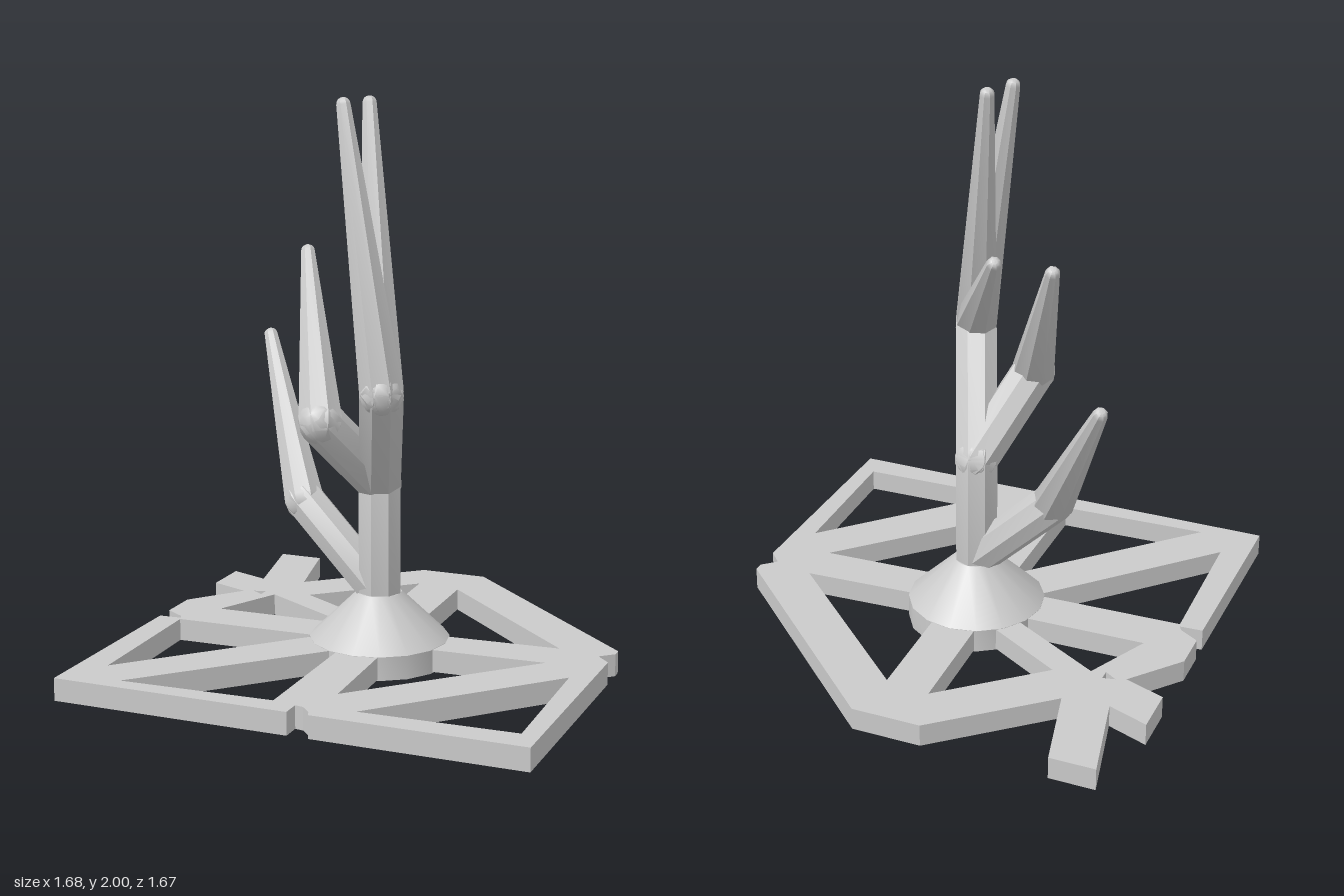
import * as THREE from 'three';
import { toCreasedNormals } from 'three/addons/utils/BufferGeometryUtils.js';

const grey = new THREE.MeshStandardMaterial({ color: 0xcacaca });
grey.name = 'plain grey';

function addMesh(parent, name, geometry) {
  const mesh = new THREE.Mesh(geometry, grey);
  mesh.name = name;
  parent.add(mesh);
  return mesh;
}

// Eight-sided rod with rounded ends, tapering from point a to point b
function addLimb(parent, name, a, b, ra, rb) {
  const start = new THREE.Vector3(...a);
  const dir = new THREE.Vector3(...b).sub(start);
  const length = dir.length();
  const steps = 4;
  const profile = [];
  for (let i = 0; i <= steps; i++) {
    const t = (i / steps) * Math.PI / 2;
    profile.push(new THREE.Vector2(ra * Math.sin(t), -ra * Math.cos(t)));
  }
  for (let i = 0; i <= steps; i++) {
    const t = (i / steps) * Math.PI / 2;
    profile.push(new THREE.Vector2(Math.max(0, rb * Math.cos(t)), length + rb * Math.sin(t)));
  }
  const limb = addMesh(parent, name, toCreasedNormals(new THREE.LatheGeometry(profile, 8), 0.6));
  limb.position.copy(start);
  limb.quaternion.setFromUnitVectors(new THREE.Vector3(0, 1, 0), dir.normalize());
}

// Plan points are [x, z]; z is flipped because the shape is laid flat.
// The winding is set so that walls face outward.
function plan(pts, clockwise) {
  const points = pts.map(([x, z]) => new THREE.Vector2(x, -z));
  return THREE.ShapeUtils.isClockWise(points) === clockwise ? points : points.reverse();
}

export function createModel() {
  const model = new THREE.Group();
  model.name = 'branchStand';

  // Openwork base plate
  const outline = new THREE.Shape(plan([
    [-0.77, -0.837], [-0.605, -0.837], [-0.525, -0.505], [-0.15, -0.837], [0.1, -0.837],
    [0.838, -0.15], [0.838, -0.115], [0.79, -0.07], [0.838, -0.02], [0.838, 0.837],
    [0.095, 0.837], [0.085, 0.81], [0.05, 0.775], [0.02, 0.77], [0.02, 0.837],
    [-0.838, 0.837], [-0.838, 0.09], [-0.755, 0.085], [-0.765, 0.065], [-0.838, 0.02],
    [-0.838, -0.125], [-0.69, -0.31], [-0.838, -0.365], [-0.838, -0.54], [-0.69, -0.485],
  ], false));
  const holes = [
    [[-0.1, -0.655], [-0.085, -0.15], [-0.435, -0.355]],
    [[0.065, -0.635], [0.64, -0.1], [0.08, -0.07]],
    [[-0.67, -0.07], [-0.56, -0.31], [-0.16, -0.08]],
    [[-0.655, -0.325], [-0.61, -0.335], [-0.61, -0.295]],
    [[-0.75, 0.1], [-0.2, 0.085], [-0.735, 0.655]],
    [[-0.62, 0.775], [-0.065, 0.755], [-0.07, 0.2]],
    [[0.08, 0.09], [0.64, 0.065], [0.105, 0.62]],
    [[0.76, 0.18], [0.775, 0.735], [0.225, 0.75]],
  ];
  for (const hole of holes) outline.holes.push(new THREE.Path(plan(hole, true)));
  const plate = addMesh(model, 'basePlate',
    new THREE.ExtrudeGeometry(outline, { depth: 0.08, bevelEnabled: false }));
  plate.rotation.x = -Math.PI / 2;
  plate.position.y = 0.004;

  // Sloped foot on a short disc
  const foot = [[0, 0], [0.25, 0], [0.25, 0.085], [0.08, 0.25], [0, 0.25]]
    .map(([r, y]) => new THREE.Vector2(r, y));
  addMesh(model, 'foot', toCreasedNormals(new THREE.LatheGeometry(foot, 16), 0.5));

  // Post and jointed arms
  const fork = [0, 0.65, 0];
  const highJoint = [0.135, 1.035, 0.315];
  const midJoint = [-0.115, 0.905, 0.25];
  const lowJoint = [-0.305, 0.55, -0.03];
  addLimb(model, 'post', [0, 0.2, 0], fork, 0.08, 0.08);
  addLimb(model, 'highArm', fork, highJoint, 0.08, 0.08);
  addLimb(model, 'midArm', fork, midJoint, 0.08, 0.08);
  addLimb(model, 'lowArm', [0, 0.25, 0], lowJoint, 0.073, 0.073);

  // Tapered prongs
  const prongs = [
    [highJoint, [-0.05, 1.974, 0.195], 0.08],
    [highJoint, [-0.01, 1.974, 0.065], 0.08],
    [highJoint, [-0.12, 1.462, -0.137], 0.08],
    [midJoint, [-0.31, 1.44, -0.088], 0.08],
    [lowJoint, [-0.578, 1.085, -0.342], 0.075],
  ];
  prongs.forEach(([from, to, r], i) => addLimb(model, `prong${i + 1}`, from, to, r, 0.026));

  return model;
}
